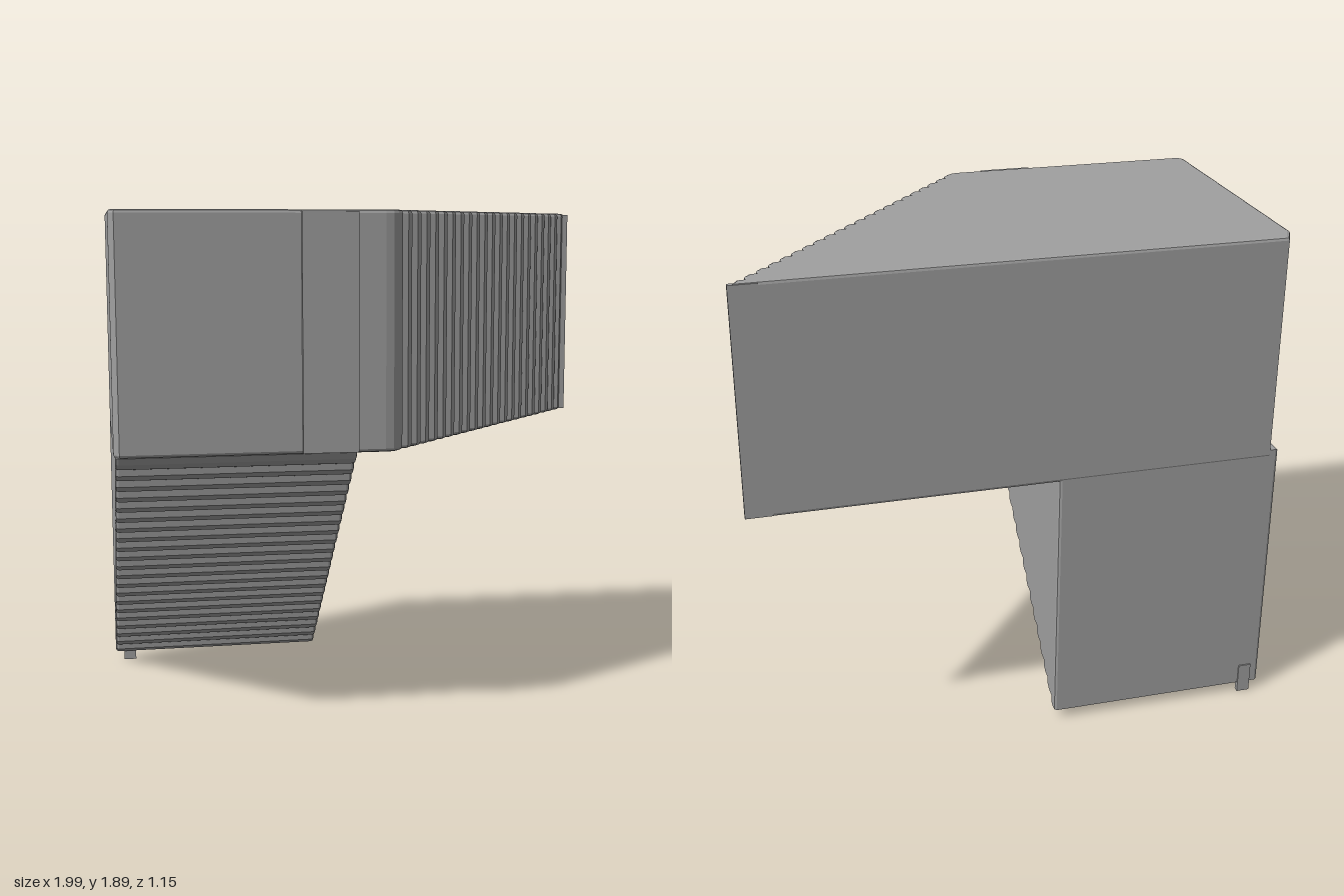
import * as THREE from 'three';

// Points of a fluted line running from a to b, dipping inward at every groove.
function flutes(a, b, count, depth) {
  const dx = b[0] - a[0], dy = b[1] - a[1], len = Math.hypot(dx, dy);
  const inward = [-dy / len * depth, dx / len * depth];
  const points = [];
  for (let i = 0; i < count; i++) {
    for (const [f, dip] of [[0, 0], [0.45, 0.15], [0.75, 1]]) {
      const t = (i + f) / count;
      points.push([a[0] + dx * t + inward[0] * dip, a[1] + dy * t + inward[1] * dip]);
    }
  }
  points.push(b);
  return points;
}

// Solid from a counter-clockwise outline, with softened ends inside the given depth.
function bevelled(points, depth, bevel) {
  const shape = new THREE.Shape(points.map(([x, y]) => new THREE.Vector2(x, y)));
  const geometry = new THREE.ExtrudeGeometry(shape, {
    depth: depth - 2 * bevel, bevelEnabled: true, bevelThickness: bevel,
    bevelSize: bevel, bevelOffset: -bevel, bevelSegments: 2,
  });
  return geometry.translate(0, 0, bevel);
}

export function createModel() {
  const group = new THREE.Group();
  const grey = new THREE.MeshStandardMaterial({ color: 0xa0a0a0 });
  grey.name = 'plain grey';

  function add(name, geometry) {
    const mesh = new THREE.Mesh(geometry, grey);
    mesh.name = name;
    group.add(mesh);
  }

  function addBox(name, [x0, x1], [y0, y1], [z0, z1]) {
    const box = new THREE.BoxGeometry(x1 - x0, y1 - y0, z1 - z0);
    add(name, box.translate((x0 + x1) / 2, (y0 + y1) / 2, (z0 + z1) / 2));
  }

  // Upper block: plan outline as (x, -z), with a fluted slanting face
  const plan = [
    [-0.99, -0.53], [-0.97, -0.555], [-0.03, -0.555], [0.0, -0.55],
    ...flutes([0.02, -0.535], [0.965, 0.535], 21, 0.016),
    [0.985, 0.572], [-0.95, 0.572], [-0.985, 0.5],
  ];
  add('upperBlock', bevelled(plan, 0.855, 0.012).rotateX(-Math.PI / 2).translate(0, 1.04, 0));

  // Lower wedge: side outline as (-z, y), with a fluted underside
  const side = [
    [0.57, 0.04], [0.57, 1.07], [-0.53, 1.07], [-0.545, 1.04],
    ...flutes([-0.53, 1.015], [0.525, 0.055], 20, 0.016), [0.545, 0.04],
  ];
  add('lowerWedge', bevelled(side, 0.855, 0.012).rotateY(Math.PI / 2).translate(-0.985, 0, 0));

  // Thin raised panel on the front face, and lips along the back
  addBox('frontPanel', [-0.33, -0.13], [1.045, 1.89], [0.55, 0.573]);
  addBox('backTipLip', [0.9, 1.0], [1.045, 1.89], [-0.575, -0.557]);
  addBox('footLip', [-0.95, -0.9], [0, 0.12], [-0.575, -0.555]);

  return group;
}
